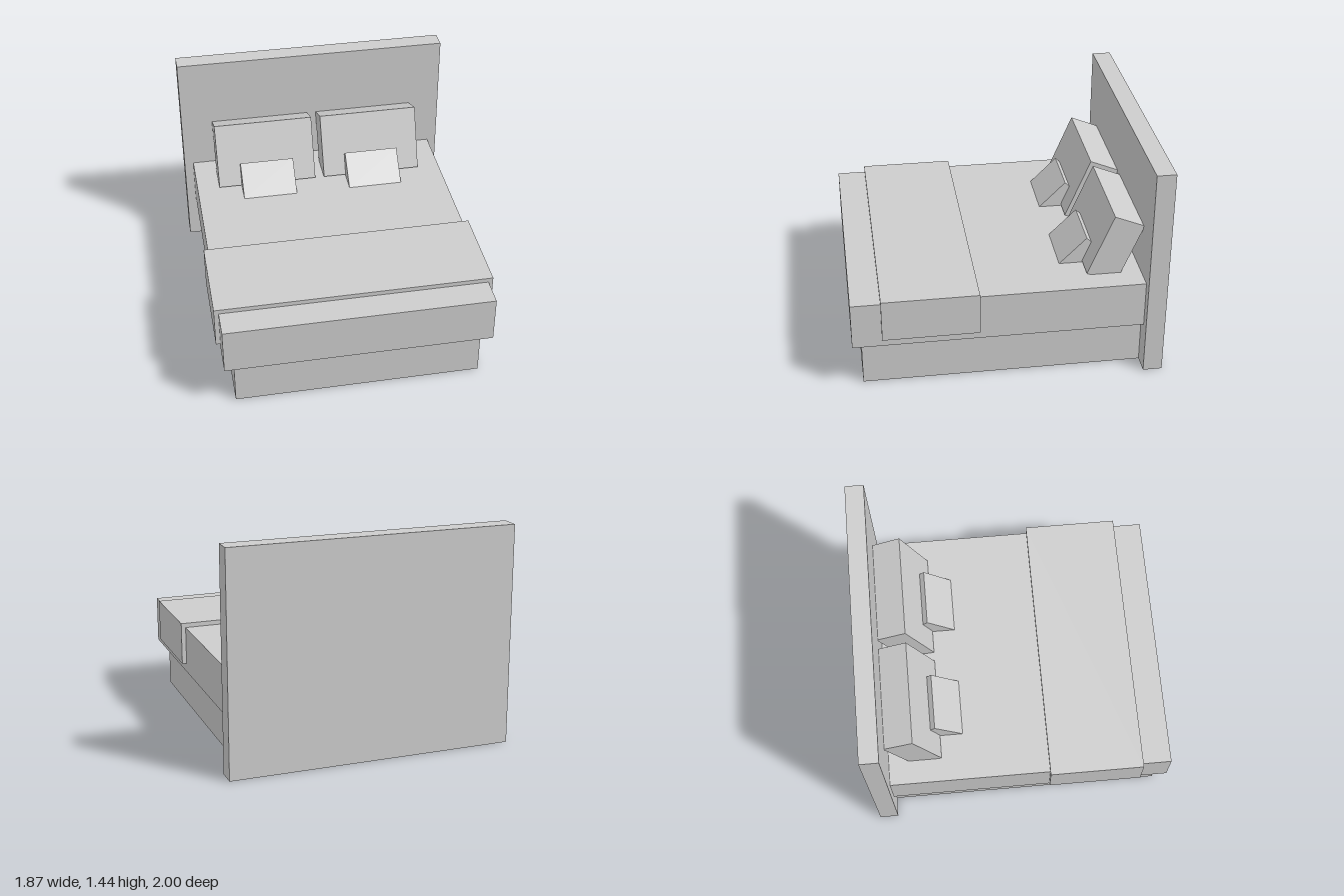
import * as THREE from 'three';

export function createModel() {
  const bed = new THREE.Group();
  bed.name = 'bed';
  const grey = new THREE.MeshStandardMaterial({ color: 0xcccccc });
  grey.name = 'plain grey';

  // Symmetric upright block: full width, y range, z range
  function block(name, width, y0, y1, z0, z1) {
    const mesh = new THREE.Mesh(new THREE.BoxGeometry(width, y1 - y0, z1 - z0), grey);
    mesh.position.set(0, (y0 + y1) / 2, (z0 + z1) / 2);
    mesh.name = name;
    bed.add(mesh);
  }

  block('headboard', 1.87, 0, 1.44, -1, -0.876);
  block('base', 1.614, 0, 0.318, -0.876, 0.94);
  block('mattress', 1.746, 0.318, 0.63, -0.876, 1);
  block('blanket', 1.805, 0.378, 0.66, 0.19, 0.81);

  // Leaning cushion, hung from its top front edge at (x, y, z)
  function cushion(name, width, height, depth, x, y, z, lean) {
    const geometry = new THREE.BoxGeometry(width, height, depth);
    geometry.translate(0, -height / 2, -depth / 2);
    const mesh = new THREE.Mesh(geometry, grey);
    mesh.position.set(x, y, z);
    mesh.rotation.x = -lean;
    mesh.name = name;
    bed.add(mesh);
  }

  for (const [side, s] of [['left', 1], ['right', -1]]) {
    cushion(side + 'Pillow', 0.686, 0.438, 0.21, s * 0.375, 1.045, -0.69, Math.PI / 8);
    cushion(side + 'SmallCushion', 0.373, 0.255, 0.115, s * 0.374, 0.808, -0.549, Math.PI / 4);
  }
  return bed;
}
